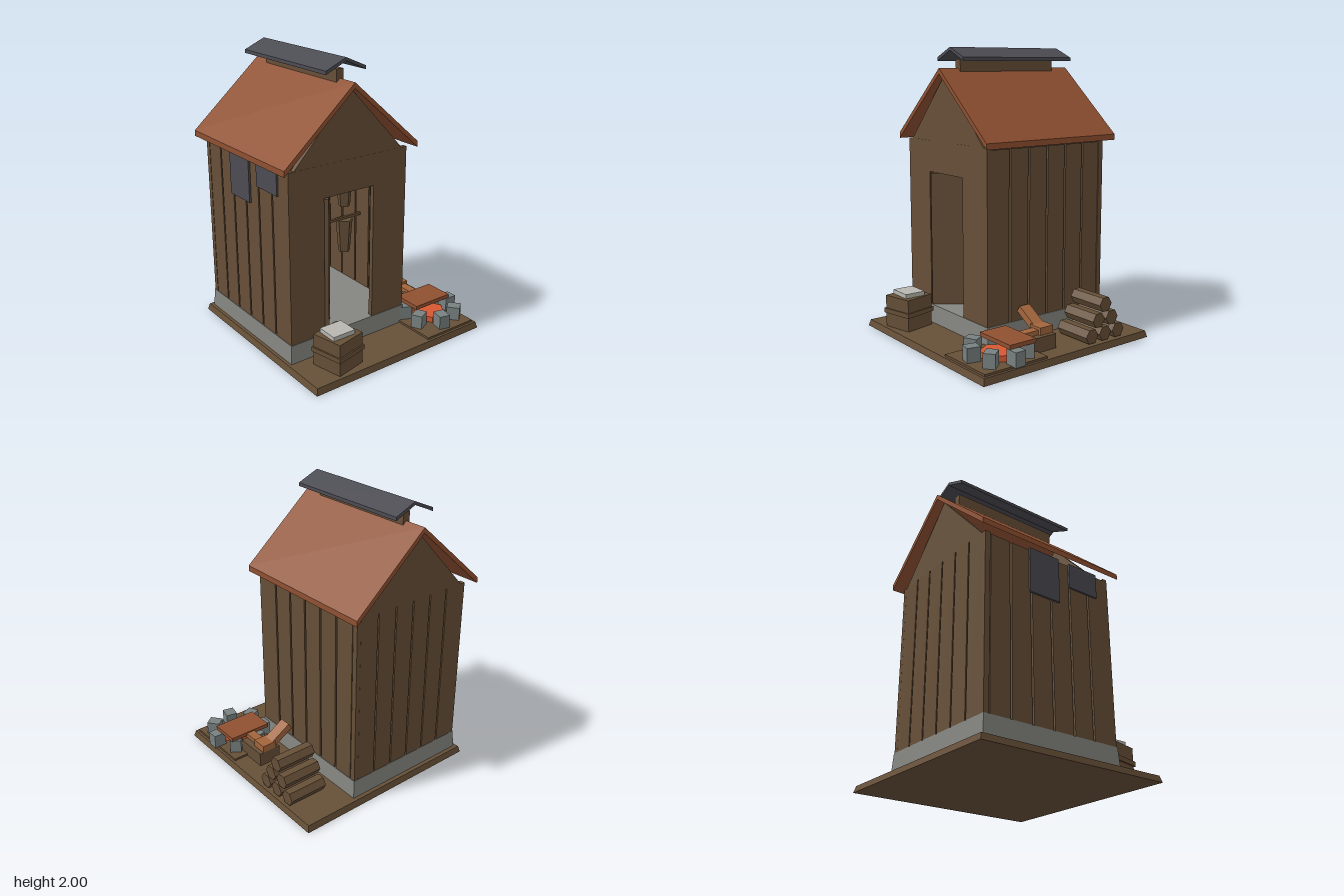
import * as THREE from 'three';

const mat = (name, color) => {
  const m = new THREE.MeshStandardMaterial({ color });
  m.name = name;
  return m;
};

export function createModel() {
  const wood = mat('brown wood', 0x664f37);
  const rust = mat('rusty roof', 0x8f5030);
  const metal = mat('dark metal', 0x4b4b52);
  const stone = mat('foundation stone', 0x858680);
  const rock = mat('fire ring stone', 0x788080);
  const slab = mat('pale slab', 0xb8b7b0);
  const ember = mat('ember', 0xd65832);
  const lightWood = mat('cut wood', 0xa2653c);

  const model = new THREE.Group();
  const add = (name, geo, material, parent = model) => {
    const mesh = new THREE.Mesh(geo, material);
    mesh.name = name;
    parent.add(mesh);
    return mesh;
  };
  // box given by its limits; taper pulls the top edges inward
  const box = (name, material, x0, x1, y0, y1, z0, z1, taper = 0, parent = model) => {
    const w = x1 - x0, h = y1 - y0, d = z1 - z0;
    const geo = new THREE.BoxGeometry(w, h, d);
    const p = geo.attributes.position;
    if (taper) {
      for (let i = 0; i < p.count; i++) {
        if (p.getY(i) < 0) continue;
        p.setX(i, p.getX(i) - Math.sign(p.getX(i)) * taper);
        p.setZ(i, p.getZ(i) - Math.sign(p.getZ(i)) * taper);
      }
      geo.computeVertexNormals();
    }
    const mesh = add(name, geo, material, parent);
    mesh.position.set((x0 + x1) / 2, (y0 + y1) / 2, (z0 + z1) / 2);
    return mesh;
  };
  // outline in x and y pushed along z
  const extrude = (name, material, pts, z0, z1) => {
    const shape = new THREE.Shape(pts.map(([x, y]) => new THREE.Vector2(x, y)));
    const geo = new THREE.ExtrudeGeometry(shape, { depth: z1 - z0, bevelEnabled: false });
    const mesh = add(name, geo, material);
    mesh.position.set(-0.19, 0, z0);
    return mesh;
  };
  const chevron = (w, top, topEdge, under, underEdge) => [
    [0, top], [-w, topEdge], [-w, underEdge], [0, under], [w, underEdge], [w, topEdge],
  ];

  // ground and foundation
  box('groundBase', wood, -0.71, 0.71, 0, 0.045, -0.71, 0.71, 0.012);
  box('foundation', stone, -0.675, 0.295, 0.045, 0.175, -0.67, 0.375, 0.008);

  // plank walls on the sides and back
  for (let i = 0; i < 6; i++) {
    const z = 0.33 - i * 0.16;
    box('rightPlank', wood, 0.253, 0.283, 0.175, 1.345, z - 0.146, z);
    box('leftPlank', wood, -0.663, -0.633, 0.175, 1.345, z - 0.146, z);
    const x = -0.634 + i * 0.1495;
    box('backPlank', wood, x, x + 0.139, 0.175, 1.355, -0.66, -0.63);
  }
  box('backCornerRight', wood, 0.253, 0.283, 0.175, 1.355, -0.66, -0.622);
  box('backCornerLeft', wood, -0.663, -0.633, 0.175, 1.355, -0.66, -0.622);

  // front wall around the doorway
  box('frontWallLeft', wood, -0.663, -0.395, 0.175, 1.36, 0.33, 0.363);
  box('frontWallRight', wood, 0.005, 0.283, 0.175, 1.36, 0.33, 0.363);
  box('doorLintel', wood, -0.395, 0.005, 1.14, 1.36, 0.33, 0.363);

  // door standing open inward
  const door = new THREE.Group();
  door.name = 'door';
  door.position.set(-0.382, 0, 0.362);
  door.rotation.y = 0.92;
  box('doorPanel', wood, 0, 0.37, 0.18, 1.13, -0.018, 0.018, 0, door);
  model.add(door);

  // gables
  const gable = [[-0.435, 1.355], [0.435, 1.355], [0, 1.82]];
  extrude('frontGable', wood, gable, 0.33, 0.362);
  extrude('backGable', wood, gable, -0.66, -0.63);

  // roof, ridge vent and its hood
  extrude('roof', rust, chevron(0.53, 1.86, 1.396, 1.822, 1.356), -0.72, 0.41);
  box('ridgeVent', wood, -0.217, -0.163, 1.83, 1.92, -0.56, 0.255);
  extrude('ventHood', metal, chevron(0.155, 2.0, 1.932, 1.978, 1.908), -0.63, 0.32);

  // metal patches on the left wall
  box('wallPatchLarge', metal, -0.677, -0.663, 1.04, 1.355, -0.32, -0.08);
  box('wallPatchSmall', metal, -0.675, -0.663, 1.18, 1.355, 0.01, 0.25);

  // hanging rods with smoked cuts
  for (const y of [1.1, 0.745]) {
    box('hangingRod', wood, -0.635, 0.255, y - 0.009, y + 0.009, -0.1, -0.08);
    for (let i = 0; i < 4; i++) {
      const cut = add('hangingCut', new THREE.CylinderGeometry(0.065, 0.045, 0.25, 5), wood);
      cut.position.set(-0.49 + i * 0.133 * 1.5, y - 0.135, -0.09);
    }
  }

  // crate with a band and a pale slab on top
  const crate = new THREE.Group();
  crate.name = 'crate';
  crate.position.set(-0.42, 0, 0.54);
  crate.rotation.y = 0.22;
  box('crateBody', wood, -0.113, 0.113, 0.045, 0.27, -0.113, 0.113, 0, crate);
  box('crateBand', wood, -0.123, 0.123, 0.145, 0.178, -0.123, 0.123, 0, crate);
  model.add(crate);
  box('crateSlab', slab, -0.507, -0.337, 0.27, 0.3, 0.46, 0.612);

  // fire pit: pad, embers, ring of stones, grill plate
  box('firePad', wood, 0.255, 0.68, 0.045, 0.06, 0.185, 0.68);
  const embers = add('embers', new THREE.CylinderGeometry(0.12, 0.12, 0.04, 6), ember);
  embers.position.set(0.485, 0.08, 0.435);
  embers.rotation.y = Math.PI / 6;
  for (let i = 0; i < 7; i++) {
    const a = (i / 7) * Math.PI * 2;
    const s = add('ringStone', new THREE.BoxGeometry(0.092, 0.1, 0.08), rock);
    s.position.set(0.485 + 0.183 * Math.cos(a), 0.107, 0.43 + 0.183 * Math.sin(a));
    s.rotation.y = -a;
  }
  box('grillPlate', rust, 0.335, 0.65, 0.157, 0.185, 0.255, 0.465);

  // chopping block with cut pieces lying on it
  box('choppingBlock', wood, 0.405, 0.572, 0.045, 0.145, 0.02, 0.25);
  box('cutHead', lightWood, 0.435, 0.542, 0.145, 0.195, 0.02, 0.13);
  box('cutHandle', lightWood, 0.46, 0.525, 0.145, 0.177, 0.13, 0.29);
  const beam = add('leaningPiece', new THREE.BoxGeometry(0.2, 0.05, 0.085), lightWood);
  beam.position.set(0.382, 0.21, 0.073);
  beam.rotation.z = -0.55;

  // firewood stack
  for (let row = 0; row < 3; row++) {
    for (let i = 0; i < 3 - row; i++) {
      const geo = new THREE.CylinderGeometry(0.054, 0.054, 0.285, 6).toNonIndexed();
      geo.computeVertexNormals();
      const log = add('firewoodLog', geo, wood);
      log.rotation.z = Math.PI / 2;
      log.position.set(0.538, 0.102 + row * 0.1, -0.205 - row * 0.06 - i * 0.12);
    }
  }

  // crisp facets everywhere
  for (const m of [wood, ember]) m.flatShading = true;
  return model;
}
